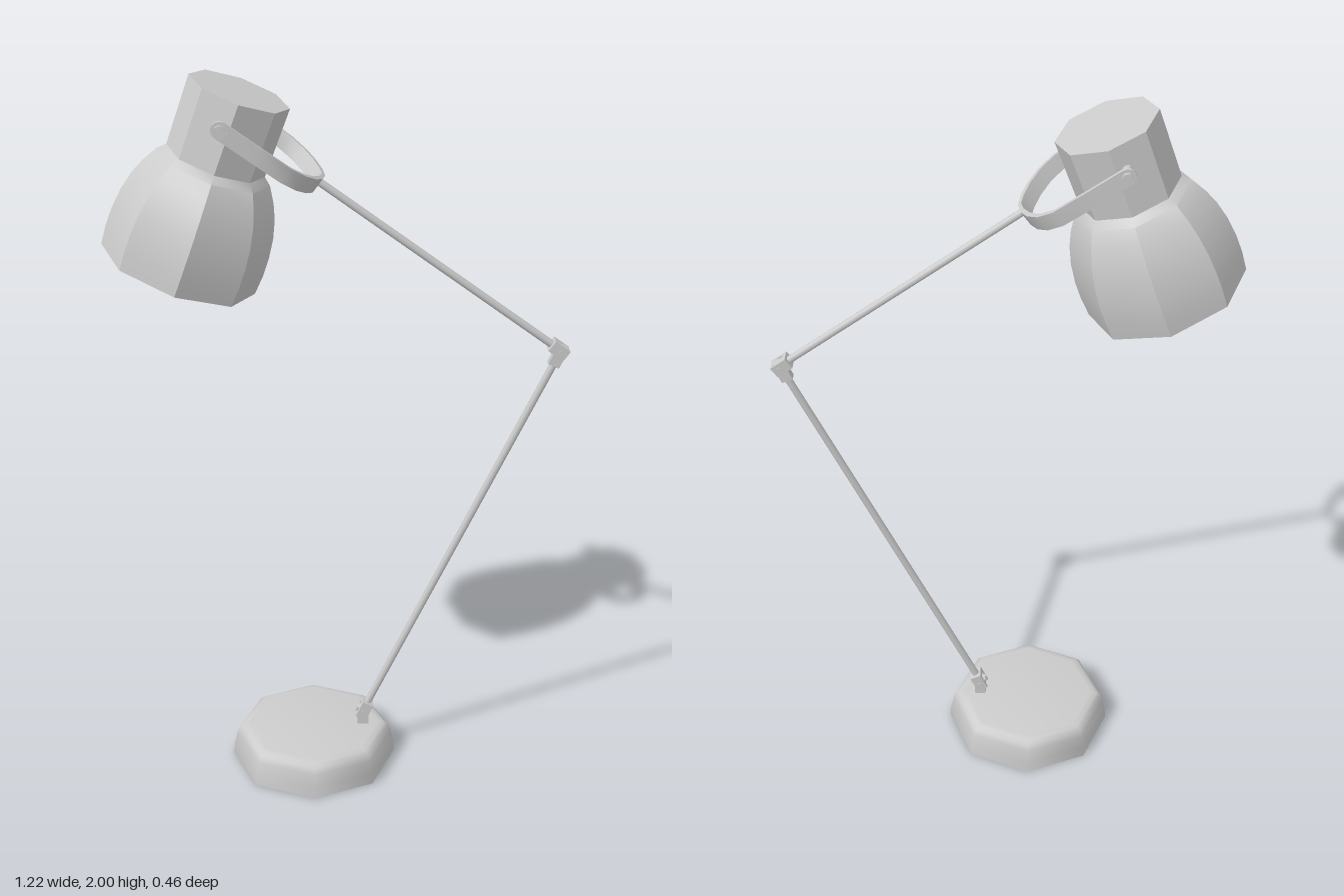
import * as THREE from 'three';
import { toCreasedNormals } from 'three/addons/utils/BufferGeometryUtils.js';

const material = new THREE.MeshStandardMaterial({ color: 0xcccccc });
const openMaterial = new THREE.MeshStandardMaterial({ color: 0xcccccc, side: THREE.DoubleSide });

export function createModel() {
  const lamp = new THREE.Group();
  lamp.name = 'deskLamp';

  const add = (parent, name, geometry, x = 0, y = 0, z = 0, mat = material) => {
    const mesh = new THREE.Mesh(geometry, mat);
    mesh.name = name;
    mesh.position.set(x, y, z);
    parent.add(mesh);
    return mesh;
  };

  // Eight-sided turned form; profile is [radius, height] from bottom to top
  const octagon = (profile, crease) => toCreasedNormals(
    new THREE.LatheGeometry(profile.map(p => new THREE.Vector2(...p)), 8), crease);

  // Thin rod between two points in the arm plane
  const rod = (name, a, b) => {
    const dx = b[0] - a[0], dy = b[1] - a[1];
    const geometry = new THREE.CylinderGeometry(0.0105, 0.0105, Math.hypot(dx, dy), 8);
    add(lamp, name, geometry, (a[0] + b[0]) / 2, (a[1] + b[1]) / 2).rotation.z = Math.atan2(-dx, dy);
  };

  // Hinge: a tongue on one side and two cheeks on the other, joined by a pin
  const hinge = (name, x, y, tongueAngle, cheekAngle) => {
    const group = new THREE.Group();
    group.name = name;
    group.position.set(x, y, 0);
    const tongue = new THREE.BoxGeometry(0.032, 0.06, 0.022).translate(0, -0.015, 0);
    add(group, 'hingeTongue', tongue).rotation.z = tongueAngle;
    const fork = new THREE.Group();
    fork.name = 'hingeFork';
    fork.rotation.z = cheekAngle;
    for (const side of [-1, 1]) {
      add(fork, 'hingeCheek', new THREE.BoxGeometry(0.032, 0.05, 0.009), 0, 0.008, side * 0.0155);
    }
    add(fork, 'forkBridge', new THREE.BoxGeometry(0.032, 0.012, 0.03), 0, 0.027, 0);
    group.add(fork);
    add(group, 'hingePin', new THREE.CylinderGeometry(0.008, 0.008, 0.044, 8).rotateX(Math.PI / 2));
    lamp.add(group);
  };

  // Weighted base with rounded shoulder
  add(lamp, 'base', octagon([[0, 0], [0.232, 0], [0.23, 0.03], [0.222, 0.07], [0.215, 0.088],
    [0.203, 0.097], [0.185, 0.1], [0, 0.1]], 0.87), -0.075, 0, 0);

  // Arms and their hinges
  const foot = [0.067, 0.14], elbow = [0.583, 1.255], pivot = [-0.295, 1.9];
  const lowerTilt = -Math.atan2(elbow[0] - foot[0], elbow[1] - foot[1]);
  const armAngle = Math.atan2(elbow[1] - pivot[1], elbow[0] - pivot[0]);
  const armStart = [pivot[0] + 0.3 * Math.cos(armAngle), pivot[1] + 0.3 * Math.sin(armAngle)];
  rod('lowerArm', foot, elbow);
  rod('upperArm', elbow, armStart);
  hinge('baseHinge', foot[0], foot[1], 0, lowerTilt);
  hinge('elbowHinge', elbow[0], elbow[1], lowerTilt, armAngle + Math.PI / 2);

  // Bent strap holding the shade, in line with the upper arm
  const yoke = new THREE.Group();
  yoke.name = 'yoke';
  yoke.position.set(pivot[0], pivot[1], 0);
  yoke.rotation.z = armAngle;
  const half = [[0, 0.158], [0.1, 0.154], [0.2, 0.147], [0.245, 0.122], [0.276, 0.085], [0.296, 0.043]];
  const path = [...half, [0.304, 0], ...half.slice().reverse().map(([u, z]) => [u, -z])];
  const inner = path.map(([u, z]) => [u - 0.01 * u / 0.304, z - Math.sign(z) * 0.009]).reverse();
  const outline = new THREE.Shape([...path, ...inner].map(p => new THREE.Vector2(...p)));
  const width = 0.044;
  const strap = new THREE.ExtrudeGeometry(outline, { depth: width, bevelEnabled: false });
  strap.rotateX(Math.PI / 2).translate(0, width / 2, 0);
  add(yoke, 'strap', toCreasedNormals(strap, 0.7));
  for (const side of [-1, 1]) {
    const disc = new THREE.CylinderGeometry(width / 2, width / 2, 0.009, 12).rotateX(Math.PI / 2);
    add(yoke, 'strapEnd', disc, 0, 0, side * 0.1535);
    const pin = new THREE.CylinderGeometry(0.014, 0.014, 0.06, 8).rotateX(Math.PI / 2);
    add(yoke, 'pivotPin', pin, 0, 0, side * 0.136);
  }
  lamp.add(yoke);

  // Open bell-shaped shade with a cylindrical cap
  const shade = octagon([[0.207, -0.492], [0.211, -0.44], [0.21, -0.39], [0.203, -0.335], [0.19, -0.285],
    [0.173, -0.245], [0.15, -0.205], [0.13, -0.187], [0.132, 0], [0, 0]], 0.55);
  add(lamp, 'shade', shade, -0.248, 1.955, 0, openMaterial).rotation.z = -0.346;

  return lamp;
}
